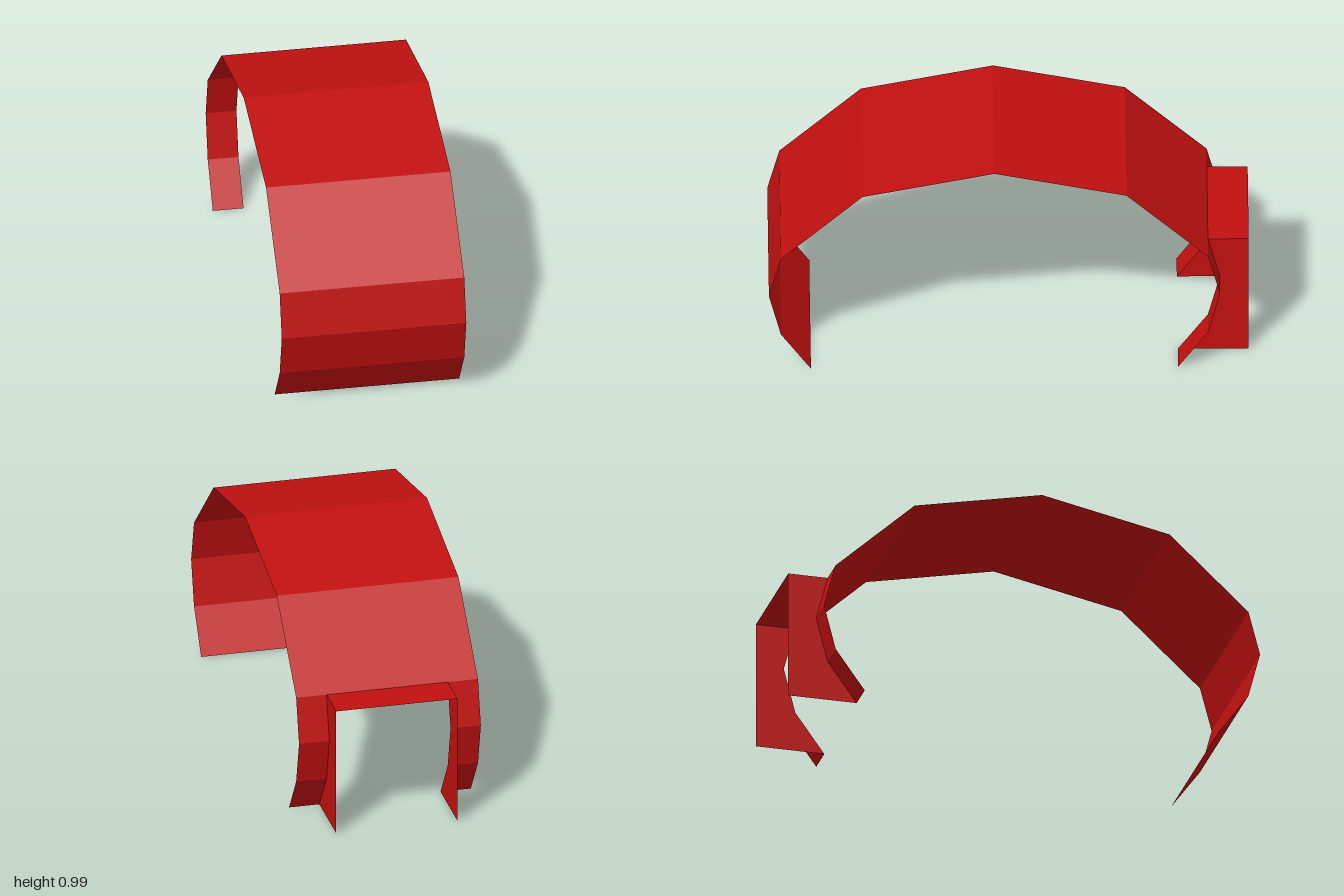
import * as THREE from 'three';

const HALF_WIDTH = 0.39;
const SLOT_HALF = 0.26; // half width of the rear opening
const ARCH_Z = 0.06; // centre of the symmetric arch

const material = new THREE.MeshStandardMaterial({
  color: 0xc01010, flatShading: true, side: THREE.DoubleSide,
});

// Thin sheet: a [z, y] profile swept across x from x0 to x1
function sheet(name, profile, x0, x1) {
  const pos = [];
  for (let i = 0; i < profile.length - 1; i++) {
    const [za, ya] = profile[i];
    const [zb, yb] = profile[i + 1];
    pos.push(x0, ya, za, x1, ya, za, x1, yb, zb);
    pos.push(x0, ya, za, x1, yb, zb, x0, yb, zb);
  }
  const geometry = new THREE.BufferGeometry();
  geometry.setAttribute('position', new THREE.Float32BufferAttribute(pos, 3));
  geometry.computeVertexNormals();
  const mesh = new THREE.Mesh(geometry, material);
  mesh.name = name;
  return mesh;
}

// Flat upright plate: a [z, y] outline standing at a given x
function plate(name, outline, x) {
  const shape = new THREE.Shape(outline.map(([z, y]) => new THREE.Vector2(z, y)));
  const mesh = new THREE.Mesh(new THREE.ShapeGeometry(shape).rotateY(-Math.PI / 2), material);
  mesh.position.x = x;
  mesh.name = name;
  return mesh;
}

export function createModel() {
  const group = new THREE.Group();
  group.name = 'wheelArch';

  // Half profile from the front lip to the crown, mirrored for the rear
  const front = [[0.825, 0], [0.95, 0.175], [1, 0.37], [0.95, 0.56], [0.61, 0.875], [ARCH_Z, 0.99]];
  const rear = front.slice(0, 5).reverse().map(([z, y]) => [2 * ARCH_Z - z, y]);
  const rearLower = rear.slice(1); // the part below the rear opening's top edge

  // Full-width cover from the front lip to the top of the rear opening
  group.add(sheet('archCover', [...front, ...rear.slice(0, 2)], -HALF_WIDTH, HALF_WIDTH));

  // Narrow rear strips and the side plates of the recess between them
  for (const [side, s] of [['left', 1], ['right', -1]]) {
    const x0 = s > 0 ? SLOT_HALF : -HALF_WIDTH;
    group.add(sheet(side + 'RearStrip', rearLower, x0, x0 + HALF_WIDTH - SLOT_HALF));
    group.add(plate(side + 'RecessPlate', [...rearLower, [-1, 0], [-1, 0.56]], s * SLOT_HALF));
  }

  // Flat roof over the recess
  group.add(sheet('recessRoof', [[-0.83, 0.56], [-1, 0.56]], -SLOT_HALF, SLOT_HALF));

  return group;
}
